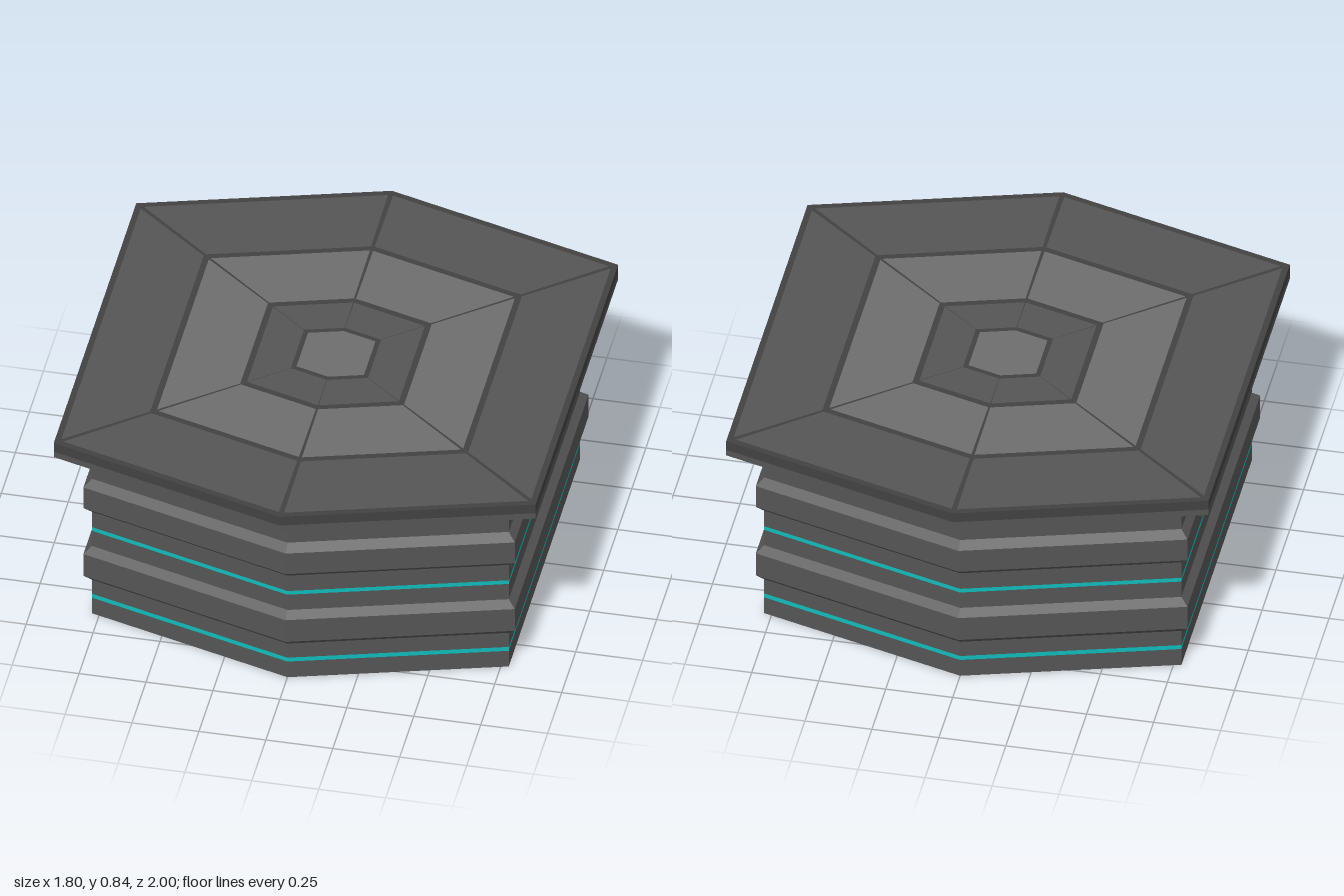
import * as THREE from 'three';

// Elongated hexagon footprint, counter-clockwise seen from above
const CORNERS = [[0, 1], [0.9, 0.735], [0.9, -0.735], [0, -1], [-0.9, -0.735], [-0.9, 0.735]];
const DARK = 0x555555, LIGHT = 0x6e6e6e, SEAM = 0x424242, CYAN = 0x10bcbc;
const BODY = 0.865, RIDGE = 0.895, TOP = 0.84;

// Six-sided skin through [scale, height] rings; gaps pull panels back from the corners
function hexSkin(profile, gapStart = 0, gapEnd = 0) {
  const pos = [];
  for (let k = 0; k < profile.length - 1; k++) {
    const [s0, y0] = profile[k], [s1, y1] = profile[k + 1];
    for (let i = 0; i < 6; i++) {
      const p = CORNERS[i], q = CORNERS[(i + 1) % 6];
      const len = Math.hypot(q[0] - p[0], q[1] - p[1]);
      const point = (s, y, t) => [s * p[0] + t * (q[0] - p[0]), y, s * p[1] + t * (q[1] - p[1])];
      const g0 = gapStart / len, g1 = gapEnd / len;
      const a = point(s0, y0, g0), b = point(s0, y0, s0 - g0);
      const c = point(s1, y1, s1 - g1), d = point(s1, y1, g1);
      if (s0 > 0) pos.push(...a, ...b, ...c);
      if (s1 > 0) pos.push(...a, ...c, ...d);
    }
  }
  const geo = new THREE.BufferGeometry();
  geo.setAttribute('position', new THREE.Float32BufferAttribute(pos, 3));
  geo.computeVertexNormals();
  return geo;
}

export function createModel() {
  const group = new THREE.Group();
  const add = (name, color, profile, gapStart, gapEnd) => {
    const material = new THREE.MeshStandardMaterial({ color, flatShading: true });
    const mesh = new THREE.Mesh(hexSkin(profile, gapStart, gapEnd), material);
    mesh.name = name;
    group.add(mesh);
  };

  // Body: base, then ridged sections separated by glowing strips
  const strips = [[0.072, 0.09], [0.38, 0.397], [0.69, 0.706]];
  const ridges = [[0.155, 0.185, 0.285, 0.31], [0.468, 0.497, 0.592, 0.62]];
  add('base', DARK, [[0, 0], [BODY, 0], [BODY, strips[0][0]]]);
  strips.forEach(([y0, y1], i) => add('lightStrip' + (i + 1), CYAN, [[BODY, y0], [BODY, y1]]));
  ridges.forEach(([a, b, c, d], i) => add('ridgedSection' + (i + 1), DARK, [
    [BODY, strips[i][1]], [BODY, a], [RIDGE, b], [RIDGE, c], [BODY, d], [BODY, strips[i + 1][0]],
  ]));

  // Overhanging top plate
  add('flare', DARK, [[BODY, 0.706], [1, 0.775], [1, 0.8]]);
  add('rim', SEAM, [[1, 0.8], [1, TOP], [0.975, TOP], [0.975, TOP - 0.003], [0, TOP - 0.003]]);

  // Concentric dark borders
  [[0.66, 0.635], [0.34, 0.315], [0.16, 0.14]].forEach(([a, b], i) =>
    add('border' + (i + 1), SEAM, [[a, TOP], [b, TOP]]));

  // Top panels with tapering corner seams
  add('outerPanels', DARK, [[0.975, TOP], [0.66, TOP]], 0.01, 0.007);
  add('middlePanels', LIGHT, [[0.635, TOP], [0.34, TOP]], 0.006, 0.004);
  add('innerPanels', DARK, [[0.315, TOP], [0.16, TOP]], 0.002, 0.001);
  add('centrePanel', LIGHT, [[0.14, TOP], [0, TOP]]);

  return group;
}
